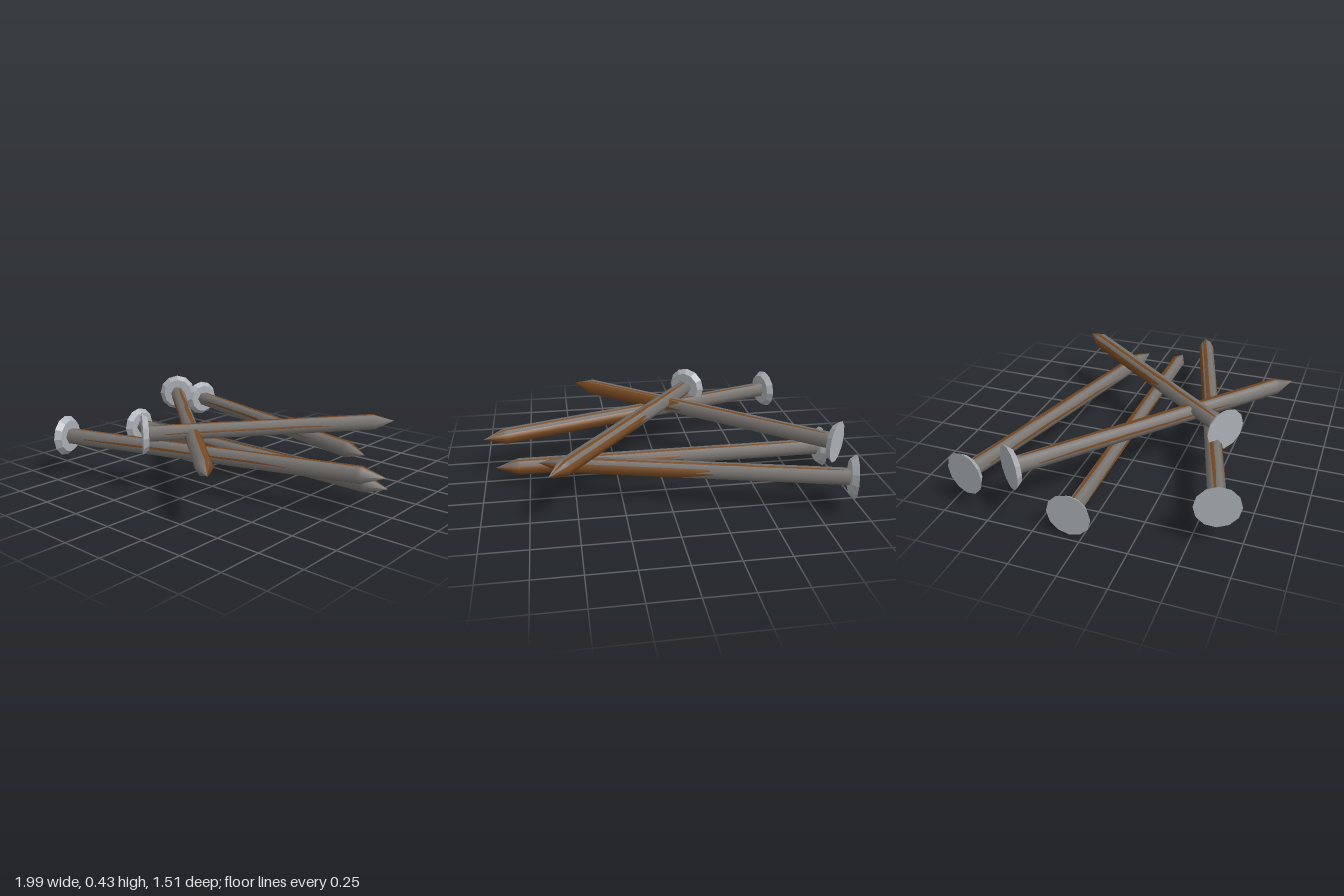
import * as THREE from 'three';

const R = 0.046, TIP = 0.125, HEAD_R = 0.117, HEAD_T = 0.032;

// Head centre (x, z), tip (x, z), height, where the rust begins (0 head, 1 tip),
// and where on the upper side facet it starts (2 top edge, 3 ridge)
const NAILS = [
  { name: 'backNail', head: [-0.935, -0.643], tip: [0.688, -0.229], y: 0.21, rust: 0.5, edge: 2.5 },
  { name: 'middleNail', head: [-0.963, -0.068], tip: [0.931, -0.068], y: 0.117, rust: 0.5, edge: 2.5 },
  { name: 'crossingNail', head: [-0.922, -0.393], tip: [0.442, 0.753], y: 0.295, rust: 0.6, edge: 2.05 },
  { name: 'frontNail', head: [-0.808, 0.628], tip: [0.996, 0.073], y: 0.23, rust: 0.55, edge: 2.4 },
  { name: 'topNail', head: [-0.262, 0.523], tip: [0.64, -0.62], y: 0.317, rust: 0.45, edge: 2.5 },
];

// Lathe a profile of [radius, distance] about the x axis
function turned(profile, sides) {
  const g = new THREE.LatheGeometry(profile.map(p => new THREE.Vector2(p[0], p[1])), sides);
  return g.rotateZ(-Math.PI / 2);
}

// Point on the six-sided shaft: x along it, u counts corners from the +z ridge over the top
function shaftPoint(x, u, length) {
  const k = Math.floor(u), f = u - k, a = k * Math.PI / 3, b = a + Math.PI / 3;
  const r = R * Math.min(1, (length - x) / TIP) + 0.0012;
  return [
    x,
    r * (Math.sin(a) * (1 - f) + Math.sin(b) * f),
    r * (Math.cos(a) * (1 - f) + Math.cos(b) * f),
  ];
}

// Thin rust skin through stations [fraction of length, u from, u to], all on one facet
function rustSkin(stations, length) {
  const pos = [], normals = [];
  const point = (t, u) => shaftPoint(t * length, u, length);
  for (let i = 0; i + 1 < stations.length; i++) {
    const [t0, a0, b0] = stations[i], [t1, a1, b1] = stations[i + 1];
    const p = point(t0, a0), q = point(t1, a1), r = point(t1, b1), s = point(t0, b0);
    for (const v of [p, q, r, p, r, s]) {
      const d = Math.hypot(v[1], v[2]);
      pos.push(...v);
      normals.push(0, v[1] / d, v[2] / d);
    }
  }
  const g = new THREE.BufferGeometry();
  g.setAttribute('position', new THREE.Float32BufferAttribute(pos, 3));
  g.setAttribute('normal', new THREE.Float32BufferAttribute(normals, 3));
  return g;
}

export function createModel() {
  const steel = new THREE.MeshStandardMaterial({ name: 'darkSteel', color: 0x787470 });
  const bright = new THREE.MeshStandardMaterial({ name: 'brightSteel', color: 0xabafb4, flatShading: true });
  const rust = new THREE.MeshStandardMaterial({ name: 'rust', color: 0x784a22 });

  const model = new THREE.Group();
  model.name = 'nails';

  for (const n of NAILS) {
    const dx = n.tip[0] - n.head[0], dz = n.tip[1] - n.head[1];
    const L = Math.hypot(dx, dz), s = n.rust, e = 1 - TIP / L;
    const nail = new THREE.Group();
    nail.name = n.name;
    const add = (name, geometry, material) => {
      const m = new THREE.Mesh(geometry, material);
      m.name = name;
      nail.add(m);
    };

    // Extra rings keep the shading even up to the point
    add('shaft', turned([
      [R, HEAD_T * 0.5], [R, HEAD_T], [R, L - TIP - 0.01], [R, L - TIP], [R * 0.9, L - TIP * 0.9], [0, L],
    ], 6), steel);
    add('head', turned([[0, 0], [HEAD_R, 0], [0.092, HEAD_T], [0, HEAD_T]], 12), bright);

    // Ragged streak along the top facet
    add('topRust', rustSkin([
      [0.04, 1.6, 1.8], [0.15, 1.5, 1.9], [0.3, 1.55, 2], [0.36, 1.4, 1.9], [0.42, 1.45, 2],
      [0.6, 1.55, 2], [0.8, 1.5, 2], [e, 1.55, 2], [1, 1.6, 2],
    ], L), rust);
    // Rusted side facets towards the point
    add('upperSideRust', rustSkin([
      [s - 0.05, n.edge, n.edge + 0.2], [s, n.edge, 3], [e, n.edge, 3], [1, n.edge, 3],
    ], L), rust);
    add('lowerSideRust', rustSkin([
      [s - 0.06, 3, 3.2], [s + 0.06, 3, 4], [e, 3, 4], [1, 3, 4],
    ], L), rust);
    // Rust spreading under the shaft
    add('bottomRust', rustSkin([
      [s, 4, 4.1], [s + 0.12, 4, 4.4], [e, 4, 4.5], [1, 4, 4.5],
    ], L), rust);
    // Fine streak by the other ridge
    add('ridgeRust', rustSkin([
      [0.08, 0, 0.1], [0.2, 0, 0.22], [0.35, 0.02, 0.3], [0.5, 0, 0.2], [0.62, 0.02, 0.25], [0.75, 0, 0.02],
    ], L), rust);

    nail.position.set(n.head[0], n.y, n.head[1]);
    nail.rotation.y = -Math.atan2(dz, dx);
    model.add(nail);
  }
  return model;
}
